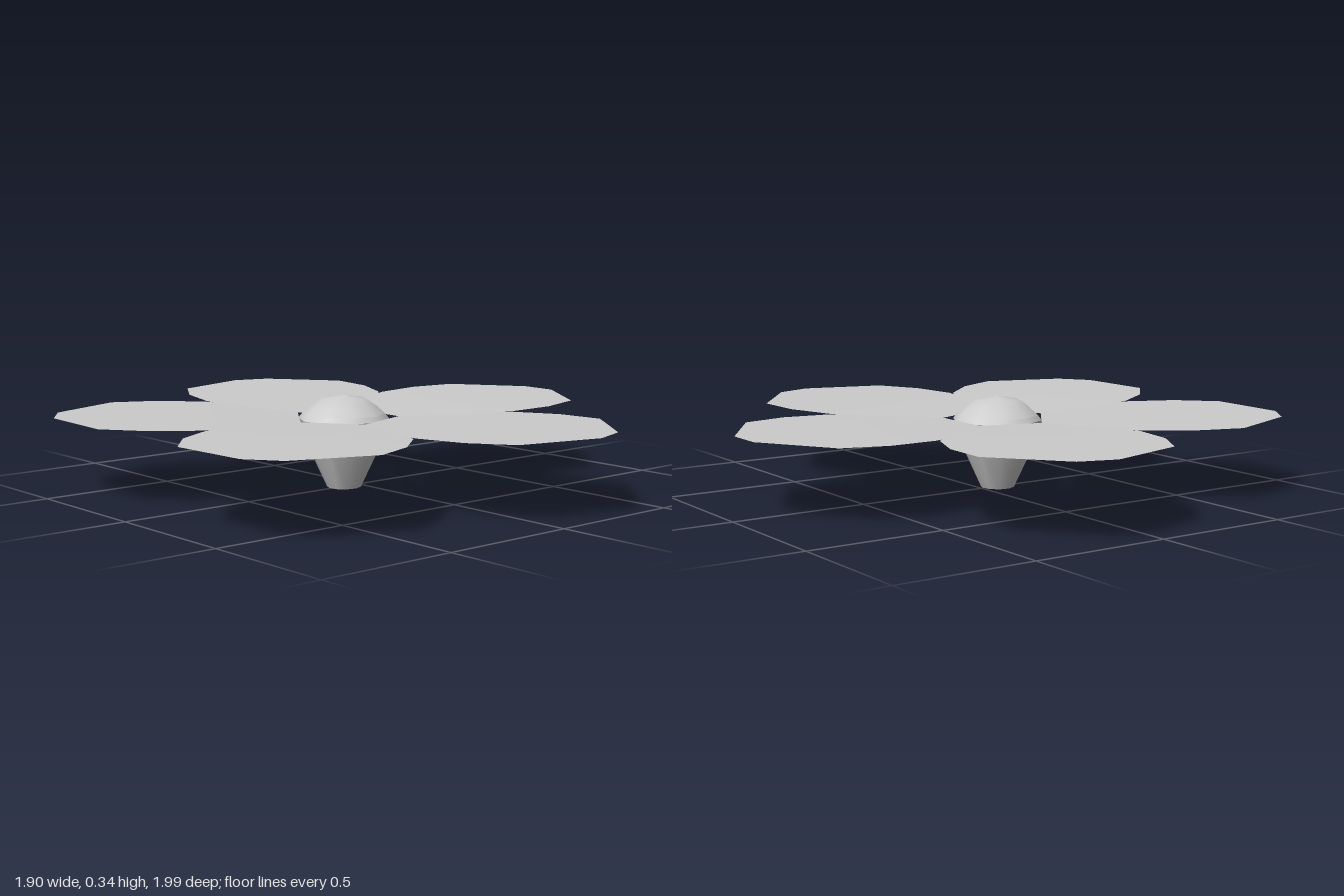
import * as THREE from 'three';

const CENTRE_X = -0.07;

// One petal pointing along +x: rows of [distance, half width, height]
function petalGeometry() {
  const rows = [
    [0.16, 0.118, 0.254], [0.457, 0.335, 0.264], [0.5, 0.355, 0.266],
    [0.68, 0.37, 0.269], [0.85, 0.328, 0.271], [1.022, 0.07, 0.272],
  ];
  const positions = [];
  const index = [];
  rows.forEach(([x, w, y], i) => {
    positions.push(x, y, -w, x, y, w);
    if (i > 0) {
      const a = 2 * (i - 1);
      index.push(a, a + 1, a + 2, a + 1, a + 3, a + 2);
    }
  });
  const geometry = new THREE.BufferGeometry();
  geometry.setAttribute('position', new THREE.Float32BufferAttribute(positions, 3));
  geometry.setIndex(index);
  geometry.computeVertexNormals();
  return geometry;
}

export function createModel() {
  const model = new THREE.Group();
  model.name = 'flower';
  const material = new THREE.MeshStandardMaterial({ color: 0xcccccc, side: THREE.DoubleSide });

  // Five thin petals around the centre
  const petal = petalGeometry();
  for (let i = 0; i < 5; i++) {
    const mesh = new THREE.Mesh(petal, material);
    mesh.name = 'petal' + (i + 1);
    mesh.position.x = CENTRE_X;
    mesh.rotation.y = (i * Math.PI * 2) / 5;
    model.add(mesh);
  }

  // Ten-sided turned parts, each with its own smooth normals
  const turned = (name, profile) => {
    const points = profile.map(([r, y]) => new THREE.Vector2(r, y));
    const mesh = new THREE.Mesh(new THREE.LatheGeometry(points, 10), material);
    mesh.name = name;
    mesh.position.x = CENTRE_X;
    mesh.rotation.y = 0.15;
    model.add(mesh);
  };
  turned('cupBase', [[0, 0], [0.062, 0]]);
  turned('cup', [[0.062, 0], [0.146, 0.18], [0.164, 0.25]]);
  turned('collar', [[0.164, 0.25], [0.15, 0.268]]);
  turned('dome', [[0.15, 0.268], [0.12, 0.295], [0.08, 0.322], [0, 0.335]]);

  return model;
}
